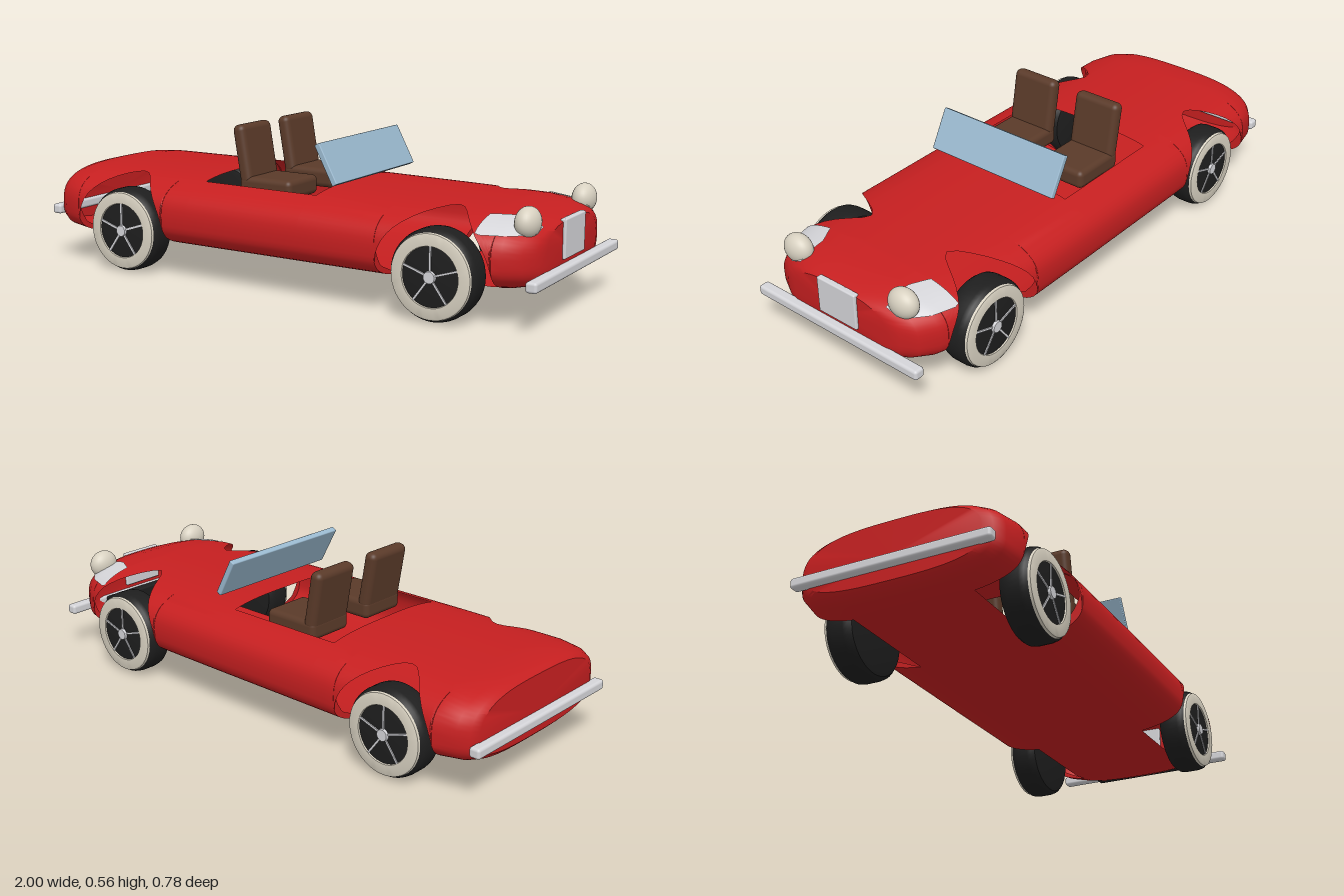
import * as THREE from 'three';
import { toCreasedNormals } from 'three/addons/utils/BufferGeometryUtils.js';
import { RoundedBoxGeometry } from 'three/addons/geometries/RoundedBoxGeometry.js';

const paint = (name, color, side = THREE.FrontSide) => {
  const m = new THREE.MeshStandardMaterial({ color, side });
  m.name = name;
  return m;
};
const RED = paint('red paint', 0xc61f20, THREE.DoubleSide);
const BLACK = paint('black rubber', 0x1e1e1e);
const CREAM = paint('cream', 0xd8d1c1);
const CHROME = paint('chrome', 0xd4d4d8);
const LEATHER = paint('brown leather', 0x5a3a29);
const GLASS = paint('blue glass', 0x9ab9cf);

const N = 3, MID = 0.22, WHEEL_Y = 0.157, ARCH_R = 0.2, AXLES = [-0.64, 0.64];
const BELLY = 0.22; // half width of the floor between the wheels
const PIT = { back: -0.33, front: 0.14, half: 0.265 };
// Body outline along its length: x, half width, top, bottom
const KEYS = [
  [-0.971, 0.0002, 0.2202, 0.2198], [-0.97, 0.315, 0.345, 0.135], [-0.955, 0.345, 0.355, 0.12],
  [-0.92, 0.37, 0.363, 0.108], [-0.84, 0.388, 0.368, 0.1], [-0.4, 0.392, 0.37, 0.1],
  [0.14, 0.392, 0.368, 0.1], [0.5, 0.39, 0.363, 0.1], [0.78, 0.372, 0.36, 0.1],
  [0.87, 0.346, 0.352, 0.108], [0.925, 0.308, 0.338, 0.118], [0.955, 0.255, 0.328, 0.128],
  [0.967, 0.21, 0.322, 0.135], [0.968, 0.0002, 0.2202, 0.2198],
];

function outline(x) {
  const i = Math.max(1, KEYS.findIndex((k) => k[0] >= x - 1e-9));
  const a = KEYS[i - 1], b = KEYS[i], t = (x - a[0]) / (b[0] - a[0]);
  const [w, top, bottom] = [1, 2, 3].map((k) => a[k] + (b[k] - a[k]) * t);
  return { w, top, bottom };
}

// Height of the wheel arch opening at x, or 0 outside the arches
function archTop(x) {
  for (const c of AXLES) {
    const d = Math.abs(x - c);
    if (d < ARCH_R - 1e-6) return WHEEL_Y + Math.sqrt(ARCH_R ** 2 - d * d);
  }
  return 0;
}

// Rounded-box cross-section: angle to point, and height or width to angle
function section(x) {
  const { w, top, bottom } = outline(x);
  const h = (s) => (s < 0 ? MID - bottom : top - MID);
  return {
    w,
    at(p) {
      const s = Math.sin(p), c = Math.max(0, Math.cos(p));
      return [MID + h(s) * Math.sign(s) * Math.abs(s) ** (2 / N), w * c ** (2 / N)];
    },
    atHeight(y) {
      const v = Math.min(1, Math.abs(y - MID) / h(y - MID));
      return Math.sign(y - MID) * Math.asin(v ** (N / 2));
    },
    atWidth: (z) => Math.acos(Math.min(1, z / w) ** (N / 2)),
  };
}

// Surface from rows of points, leaving out the cells named by skip
function loft(rows, crease, skip = () => false) {
  const n = rows[0].length, index = [];
  for (let i = 0; i < rows.length - 1; i++) {
    for (let j = 0; j < n - 1; j++) {
      if (skip(i, j)) continue;
      const a = i * n + j, b = a + n;
      index.push(a, b, a + 1, b, b + 1, a + 1);
    }
  }
  const g = new THREE.BufferGeometry();
  g.setAttribute('position', new THREE.Float32BufferAttribute(rows.flat(2), 3));
  g.setIndex(index);
  return toCreasedNormals(g, crease);
}

// Open shell with cut-outs for the wheels and the cockpit
function bodyGeometry() {
  const xs = KEYS.map((k) => k[0]);
  xs.push(PIT.back, PIT.front);
  for (const c of AXLES) {
    xs.push(c - ARCH_R, c + ARCH_R, c - ARCH_R + 0.001, c + ARCH_R - 0.001);
    for (let k = 1; k < 24; k++) xs.push(c + ARCH_R * Math.cos((k * Math.PI) / 24));
  }
  const stations = [...new Set(xs)].sort((a, b) => a - b);
  const belly = 6, flank = 20, deck = 8;
  const rows = stations.map((x) => {
    const s = section(x), half = [], arch = archTop(x);
    const arc = (from, to, steps) => {
      for (let k = 0; k <= steps; k++) half.push([x, ...s.at(from + ((to - from) * k) / steps)]);
    };
    const edge = -s.atWidth(Math.min(BELLY, s.w * 0.6));
    const from = arch ? s.atHeight(arch) : edge;
    const rim = Math.max(from, s.atWidth(Math.min(PIT.half, s.w * 0.7)));
    arc(-Math.PI / 2, edge, belly);
    arc(from, rim, flank);
    arc(rim, Math.PI / 2, deck);
    return [...half, ...half.map(([px, y, z]) => [px, y, -z]).reverse()];
  });
  const inPit = (x) => x >= PIT.back && x <= PIT.front;
  return loft(rows, 0.6, (i, j) => {
    const a = stations[i], b = stations[i + 1];
    const cell = Math.min(j, rows[0].length - 2 - j);
    if (cell === belly) return archTop(a) > 0 || archTop(b) > 0;
    return cell > belly + flank && inPit(a) && inPit(b);
  });
}

// Bright panel following the fender around a headlight
function lampPanel(side) {
  const rows = [];
  for (let i = 0; i <= 10; i++) {
    const x = 0.775 + i * 0.0168, s = section(x), row = [];
    const a = s.atHeight(Math.max(0.302, archTop(x) + 0.002));
    const b = s.atWidth(Math.max(0.19, 0.225 - i * 0.009));
    for (let j = 0; j <= 8; j++) {
      const [y, z] = s.at(a + ((Math.max(a, b) - a) * j) / 8);
      row.push([x + 0.002, y + 0.003, side * (z + 0.003)]);
    }
    rows.push(side > 0 ? row : row.reverse());
  }
  return loft(rows, 0.8);
}

export function createModel() {
  const model = new THREE.Group();
  model.name = 'roadster';
  const add = (name, geo, mat, x = 0, y = 0, z = 0, parent = model) => {
    const m = new THREE.Mesh(geo, mat);
    m.name = name;
    m.position.set(x, y, z);
    parent.add(m);
    return m;
  };
  const rbox = (w, h, d, r) => new RoundedBoxGeometry(w, h, d, 4, r);
  const lathe = (points) => toCreasedNormals(
    new THREE.LatheGeometry(points.map((p) => new THREE.Vector2(...p)), 48), 0.6);

  add('body', bodyGeometry(), RED);

  // Windscreen
  add('windscreen', rbox(0.022, 0.154, 0.546, 0.004), GLASS, 0.182, 0.461, 0).rotation.z = 0.49;

  // Bumpers, grille and air intake
  add('frontBumper', rbox(0.04, 0.036, 0.72, 0.01), CHROME, 0.978, 0.163, 0);
  add('rearBumper', rbox(0.04, 0.036, 0.72, 0.01), CHROME, -0.98, 0.197, 0);
  add('grille', rbox(0.022, 0.134, 0.17, 0.005), CHROME, 0.967, 0.263, 0);
  add('airIntake', rbox(0.04, 0.05, 0.39, 0.008), BLACK, 0.95, 0.152, 0);

  for (const side of [1, -1]) {
    // Headlights
    add('headlightPanel', lampPanel(side), CHROME);
    add('headlight', new THREE.SphereGeometry(1, 32, 20), CREAM, 0.911, 0.34, side * 0.237)
      .scale.set(0.041, 0.052, 0.057);

    // Seats
    const seat = new THREE.Group();
    seat.name = 'seat';
    seat.position.z = side * 0.142;
    add('seatCushion', rbox(0.22, 0.07, 0.188, 0.02), LEATHER, -0.098, 0.345, 0, seat);
    add('seatBack', rbox(0.05, 0.216, 0.188, 0.022), LEATHER, -0.198, 0.456, 0, seat).rotation.z = 0.17;
    model.add(seat);

    // Wheels
    for (const x of AXLES) {
      const wheel = new THREE.Group();
      wheel.name = x > 0 ? 'frontWheel' : 'rearWheel';
      wheel.position.set(x, 0.155, side * 0.321);
      if (side < 0) wheel.rotation.y = Math.PI;
      add('tyre', lathe([
        [0, -0.054], [0.125, -0.054], [0.142, -0.05], [0.152, -0.038], [0.155, -0.022],
        [0.155, 0.022], [0.152, 0.038], [0.142, 0.05], [0.125, 0.054], [0, 0.054],
      ]), BLACK, 0, 0, 0, wheel).rotation.x = Math.PI / 2;
      add('whitewall', lathe([
        [0.098, 0.048], [0.144, 0.048], [0.142, 0.056], [0.136, 0.059], [0.102, 0.059], [0.098, 0.048],
      ]), CREAM, 0, 0, 0, wheel).rotation.x = Math.PI / 2;
      for (let k = 0; k < 5; k++) {
        const a = Math.PI / 2 + (k * Math.PI * 2) / 5;
        add('spoke', new THREE.BoxGeometry(0.1, 0.007, 0.006), CHROME,
          0.052 * Math.cos(a), 0.052 * Math.sin(a), 0.055, wheel).rotation.z = a;
      }
      add('hub', new THREE.CylinderGeometry(0.02, 0.022, 0.014, 24), CHROME, 0, 0, 0.057, wheel)
        .rotation.x = Math.PI / 2;
      model.add(wheel);
    }
  }
  return model;
}
